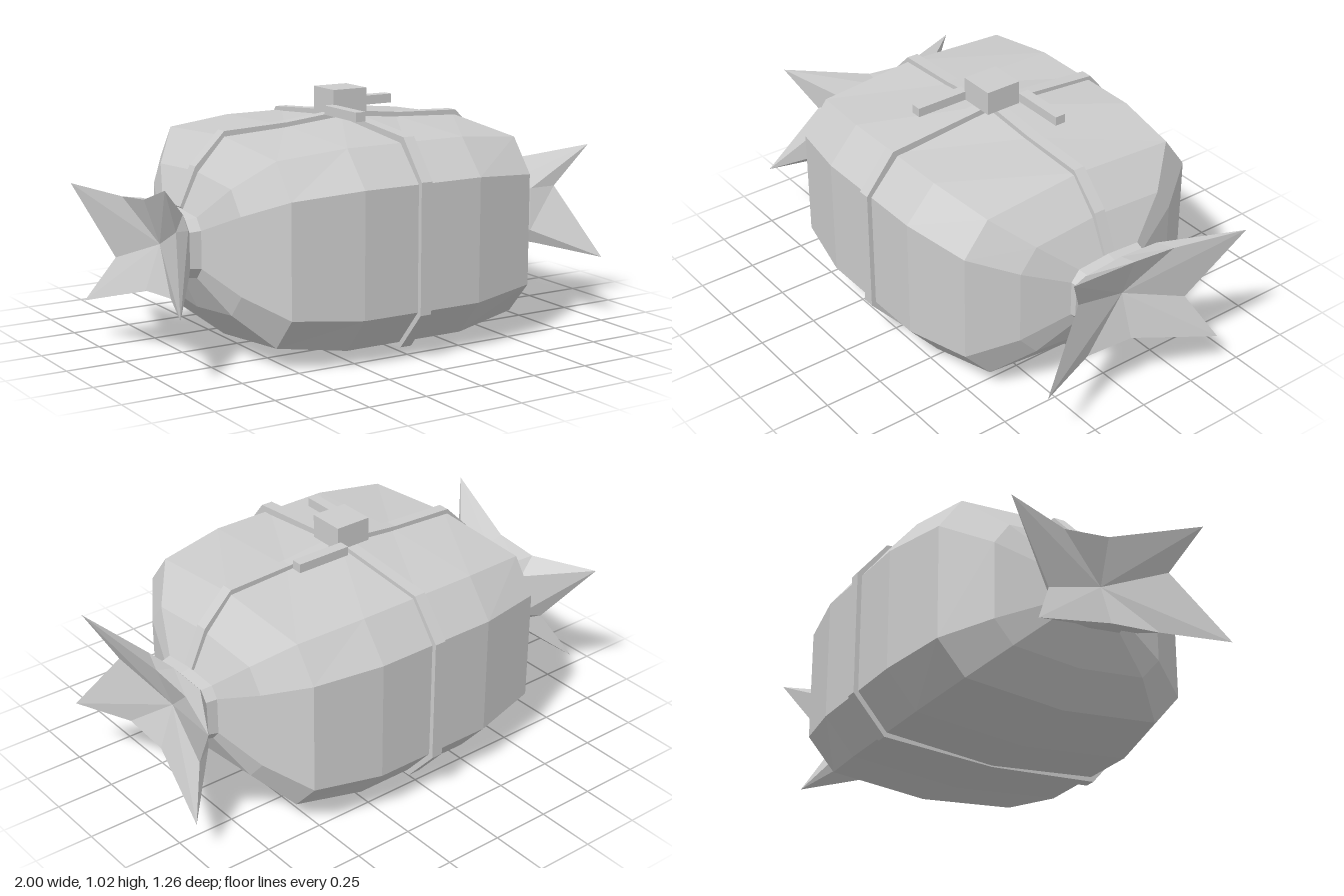
import * as THREE from 'three';

const CY = 0.455; // height of the long axis

// Skin a list of ten-point rings, ordered towards +x, each point [x, y, z]
function loft(rings) {
  const pos = [];
  const tri = (...pts) => {
    const v = pts.map((p) => new THREE.Vector3(...p));
    if (new THREE.Triangle(...v).getArea() > 1e-7) pos.push(...pts.flat());
  };
  for (let i = 0; i < rings.length - 1; i++) {
    const r = rings[i], s = rings[i + 1], n = r.length;
    for (let j = 0; j < n; j++) {
      const k = (j + 1) % n;
      tri(r[j], r[k], s[j]);
      tri(r[k], s[k], s[j]);
    }
  }
  const g = new THREE.BufferGeometry();
  g.setAttribute('position', new THREE.Float32BufferAttribute(pos, 3));
  g.computeVertexNormals();
  return g;
}

// Bevelled cross-sections as [z, y], from the top round by the front
const END = [[0, 0.865], [0.44, 0.825], [0.55, 0.685], [0.55, 0.225], [0.43, 0.09],
  [0, 0.05], [-0.43, 0.09], [-0.55, 0.225], [-0.55, 0.7], [-0.45, 0.84]];
const MID = [[0, 0.88], [0.48, 0.855], [0.61, 0.71], [0.61, 0.2], [0.48, 0.05],
  [0, 0.006], [-0.48, 0.05], [-0.61, 0.2], [-0.61, 0.71], [-0.49, 0.865]];
const CENTRE = MID.map((p, i) => (i === 0 ? [0, 0.905] : p));
// Four-pointed wrapper end, [z, y, x]
const STAR = [[0, 0.64, 0.905], [0.38, 0.747, 1], [0.275, 0.56, 0.905], [0.49, 0.275, 1], [0.22, 0.29, 0.905],
  [0, 0.275, 0.905], [-0.38, 0.165, 1], [-0.275, 0.355, 0.905], [-0.49, 0.637, 1], [-0.2, 0.62, 0.905]];

const ring = (x, section) => section.map(([z, y]) => [x, y, z]);
const scaled = (x, s) => END.map(([z, y]) => [x, CY + (y - CY) * s, z * s]);
const toShape = (pts) => new THREE.Shape(pts.map((p) => new THREE.Vector2(...p)));

export function createModel() {
  const group = new THREE.Group();
  const grey = new THREE.MeshStandardMaterial({ color: 0xcccccc, flatShading: true, side: THREE.DoubleSide });
  grey.name = 'wrapping grey';
  const add = (name, geometry) => {
    const mesh = new THREE.Mesh(geometry, grey);
    mesh.name = name;
    group.add(mesh);
    return mesh;
  };

  // Faceted parcel, tapering to a neck at both ends
  add('parcelBody', loft([
    scaled(-0.8, 0.31), scaled(-0.75, 0.33), scaled(-0.68, 0.68), ring(-0.56, END), ring(-0.27, MID),
    ring(0, CENTRE),
    ring(0.27, MID), ring(0.56, END), scaled(0.68, 0.68), scaled(0.75, 0.33), scaled(0.8, 0.31),
  ]));

  // Flared, hollow wrapper ends
  for (const side of [1, -1]) {
    const rings = [
      scaled(side * 0.785, 0.28),
      scaled(side * 0.825, 0.4),
      STAR.map(([z, y, x]) => [side * x, y, z]),
      STAR.map(() => [side * 0.84, CY, 0]),
    ];
    add(side > 0 ? 'leftWrapperEnd' : 'rightWrapperEnd', loft(side > 0 ? rings : rings.reverse()));
  }

  // Ribbon round the middle
  const loop = toShape([[0, 0.925], [0.5, 0.88], [0.63, 0.72], [0.63, 0.19], [0.49, 0.03],
    [0, 0], [-0.49, 0.03], [-0.63, 0.19], [-0.63, 0.72], [-0.5, 0.88]]);
  loop.holes.push(new THREE.Path(CENTRE.map(([z, y]) => new THREE.Vector2(z * 0.99, CY + (y - CY) * 0.99))));
  const loopGeo = new THREE.ExtrudeGeometry(loop, { depth: 0.05, bevelEnabled: false });
  loopGeo.rotateY(-Math.PI / 2).translate(0.025, 0, 0);
  add('crossRibbon', loopGeo);

  // Ribbon along the top, down to both necks
  const half = [[0.27, 0.897], [0.56, 0.885], [0.69, 0.755], [0.76, 0.6]];
  const under = [[0.74, 0.585], [0.67, 0.725], [0.55, 0.855], [0.27, 0.87]];
  const flip = (pts) => pts.map(([x, y]) => [-x, y]).reverse();
  const long = toShape([...flip(half), [0, 0.925], ...half, ...under, [0, 0.895], ...flip(under)]);
  const longGeo = new THREE.ExtrudeGeometry(long, { depth: 0.05, bevelEnabled: false });
  longGeo.translate(0, 0, -0.025);
  add('longRibbon', longGeo);

  // Knot and its two loose ribbon ends
  const box = (name, w, h, d, x, y, z) => add(name, new THREE.BoxGeometry(w, h, d)).position.set(x, y, z);
  box('knot', 0.157, 0.1, 0.157, -0.003, 0.97, -0.004);
  box('sideRibbonEnd', 0.24, 0.038, 0.047, 0.185, 0.94, -0.112);
  box('frontRibbonEnd', 0.045, 0.038, 0.24, -0.097, 0.94, 0.185);

  return group;
}
